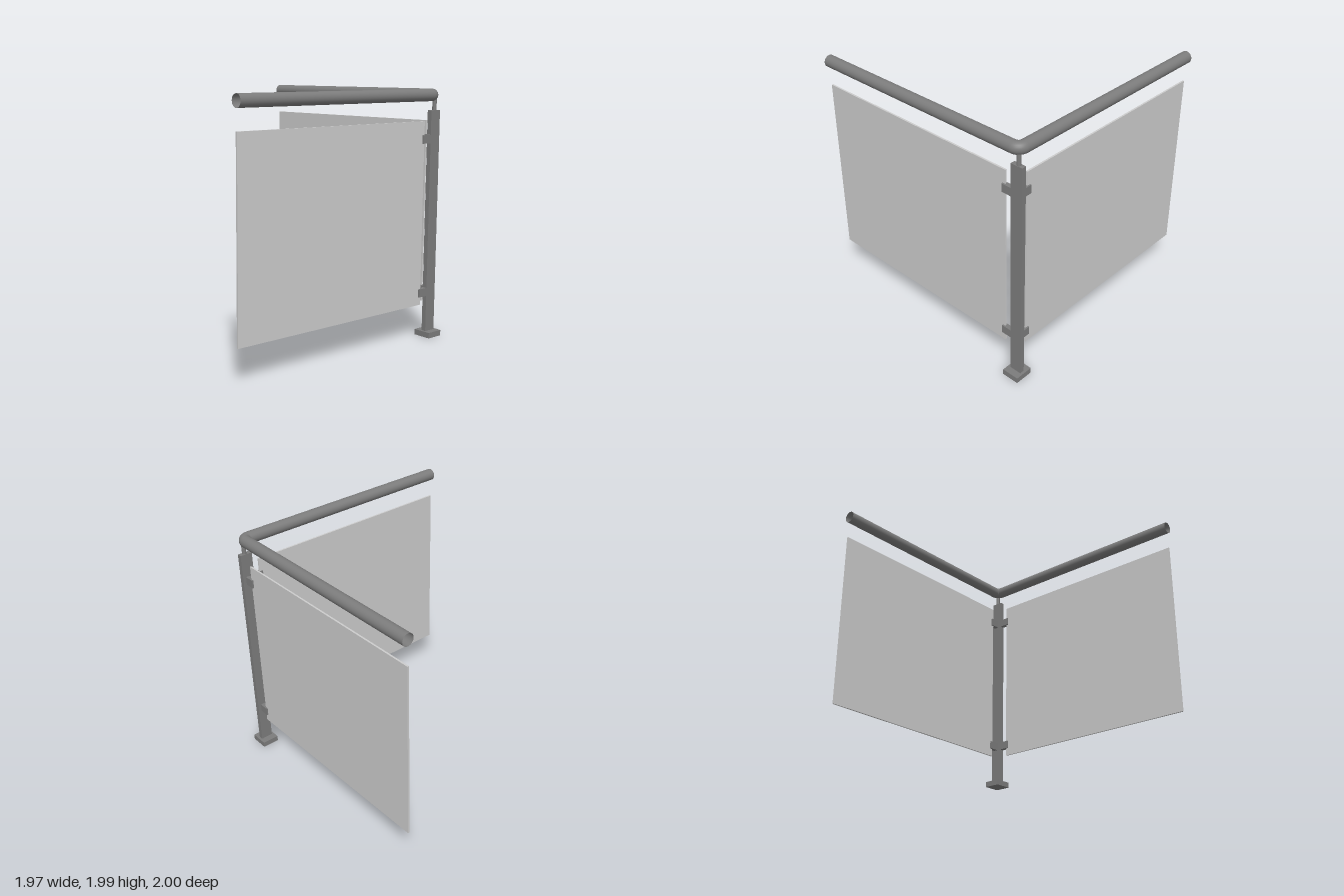
import * as THREE from 'three';

const CX = 0.905, CZ = -0.935;        // corner where both runs meet
const RAIL_Y = 1.938, RAIL_R = 0.048, BEND = 0.05;

export function createModel() {
  const model = new THREE.Group();
  model.name = 'cornerRailing';
  const metal = new THREE.MeshStandardMaterial({ color: 0x7c7c7c });
  const tube = new THREE.MeshStandardMaterial({ color: 0x7c7c7c, side: THREE.DoubleSide });
  const glass = new THREE.MeshStandardMaterial({ color: 0xcccccc });

  const add = (name, geometry, material) => {
    const mesh = new THREE.Mesh(geometry, material);
    mesh.name = name;
    model.add(mesh);
    return mesh;
  };
  // box given by its minimum and maximum corners
  const box = (name, material, [x0, y0, z0], [x1, y1, z1]) =>
    add(name, new THREE.BoxGeometry(x1 - x0, y1 - y0, z1 - z0), material)
      .position.set((x0 + x1) / 2, (y0 + y1) / 2, (z0 + z1) / 2);

  // Base plate and flat post
  box('basePlate', metal, [0.83, 0, -1], [0.98, 0.045, -0.86]);
  box('post', metal, [CX - 0.019, 0.045, -0.98], [CX + 0.019, 1.82, -0.88]);

  // Round pin carrying the handrail
  add('railPin', new THREE.CylinderGeometry(0.017, 0.017, 0.1, 16), metal)
    .position.set(CX, 1.866, CZ);

  // Thin infill panels, one per run
  const t = 0.007;
  box('backPanel', glass, [-0.985, 0.272, CZ - t], [0.83, 1.738, CZ + t]);
  box('sidePanel', glass, [CX - t, 0.272, -0.82], [CX + t, 1.738, 1]);

  // Clamps gripping the panel edges
  for (const y of [0.37, 1.597]) {
    const h = 0.033, w = 0.019;
    box('backClamp', metal, [0.803, y - h, CZ - w], [CX - 0.019, y + h, CZ + w]);
    box('sideClamp', metal, [CX - w, y - h, -0.88], [CX + w, y + h, -0.797]);
  }

  // Open tubular handrail: two straight runs joined by a tight elbow
  const xEnd = -0.985, zEnd = 1;
  const lenX = CX - BEND - xEnd, lenZ = zEnd - (CZ + BEND);
  const backRail = add('backRail', new THREE.CylinderGeometry(RAIL_R, RAIL_R, lenX, 24, 1, true), tube);
  backRail.rotation.z = Math.PI / 2;
  backRail.position.set(xEnd + lenX / 2, RAIL_Y, CZ);
  const sideRail = add('sideRail', new THREE.CylinderGeometry(RAIL_R, RAIL_R, lenZ, 24, 1, true), tube);
  sideRail.rotation.x = Math.PI / 2;
  sideRail.position.set(CX, RAIL_Y, zEnd - lenZ / 2);
  const elbow = add('railElbow', new THREE.TorusGeometry(BEND, RAIL_R, 24, 10, Math.PI / 2), tube);
  elbow.rotation.x = -Math.PI / 2;
  elbow.position.set(CX - BEND, RAIL_Y, CZ + BEND);

  return model;
}
